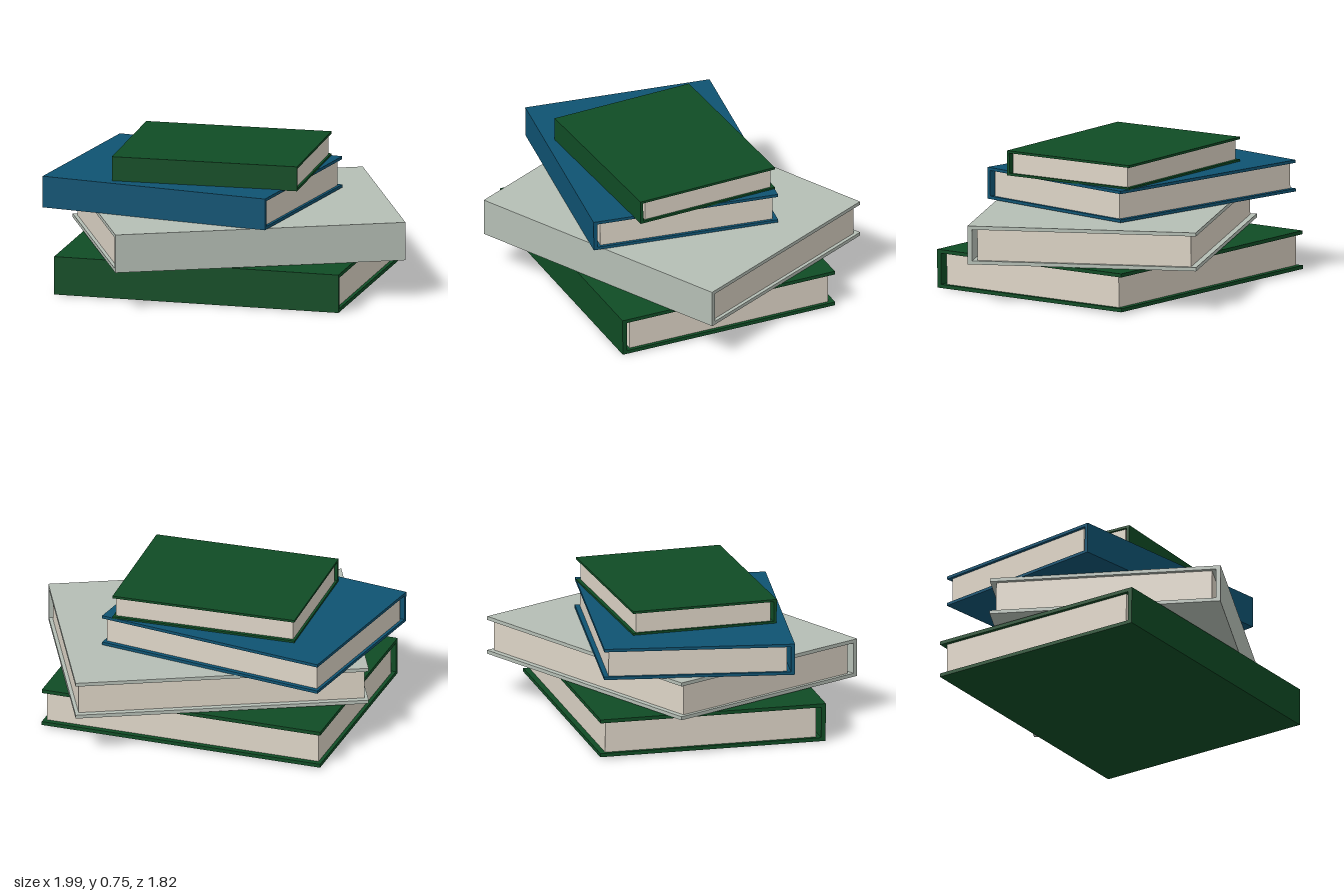
import * as THREE from 'three';

const green = new THREE.MeshStandardMaterial({ name: 'green cover', color: 0x104c25 });
const blue = new THREE.MeshStandardMaterial({ name: 'blue cover', color: 0x0f5372 });
const grey = new THREE.MeshStandardMaterial({ name: 'grey cover', color: 0xb5beb5 });
const paper = new THREE.MeshStandardMaterial({ name: 'paper', color: 0xddd4c6 });

// Full-size book; smaller ones are scaled copies. The spine faces +z.
const W = 1.603, D = 1.268, H = 0.212, BOARD = 0.02, SPINE = 0.025;
const GAP = 0.025, SIDE_INSET = 0.02, EDGE_INSET = 0.032;

function makeBook(name, cover) {
  const book = new THREE.Group();
  book.name = name;

  // U-shaped case: two boards joined by the spine, extruded along the width
  const f = D / 2, i = f - SPINE;
  const profile = new THREE.Shape([
    [f, 0], [f, H], [-f, H], [-f, H - BOARD],
    [i, H - BOARD], [i, BOARD], [-f, BOARD], [-f, 0],
  ].map(([a, b]) => new THREE.Vector2(-a, b)));
  const caseGeometry = new THREE.ExtrudeGeometry(profile, { depth: W, bevelEnabled: false });
  caseGeometry.translate(0, 0, -W / 2).rotateY(Math.PI / 2);
  const bookCase = new THREE.Mesh(caseGeometry, cover);
  bookCase.name = 'cover';

  // Page block, set in from the board edges
  const front = i - GAP, back = -f + EDGE_INSET;
  const pages = new THREE.Mesh(
    new THREE.BoxGeometry(W - 2 * SIDE_INSET, H - 2 * BOARD, front - back), paper);
  pages.name = 'pages';
  pages.position.set(0, H / 2, (front + back) / 2);

  book.add(bookCase, pages);
  return book;
}

export function createModel() {
  const stack = new THREE.Group();
  stack.name = 'bookStack';
  const tilt = 0.5; // fore-edges sit slightly high
  // name, cover, scale, x, z, height of the base, turn in degrees
  const books = [
    ['bottomBook', green, 1, -0.065, -0.005, 0.006, -1.4],
    ['greyBook', grey, 1, 0, 0, 0.222, 24.7],
    ['blueBook', blue, 0.823, -0.262, -0.005, 0.436, -9.6],
    ['topBook', green, 0.645, -0.098, -0.004, 0.608, 0.9],
  ];
  for (const [name, cover, scale, x, z, y, turn] of books) {
    const book = makeBook(name, cover);
    book.scale.setScalar(scale);
    book.position.set(x, y, z);
    book.rotation.set(
      THREE.MathUtils.degToRad(tilt), THREE.MathUtils.degToRad(turn), 0, 'YXZ');
    stack.add(book);
  }
  return stack;
}
